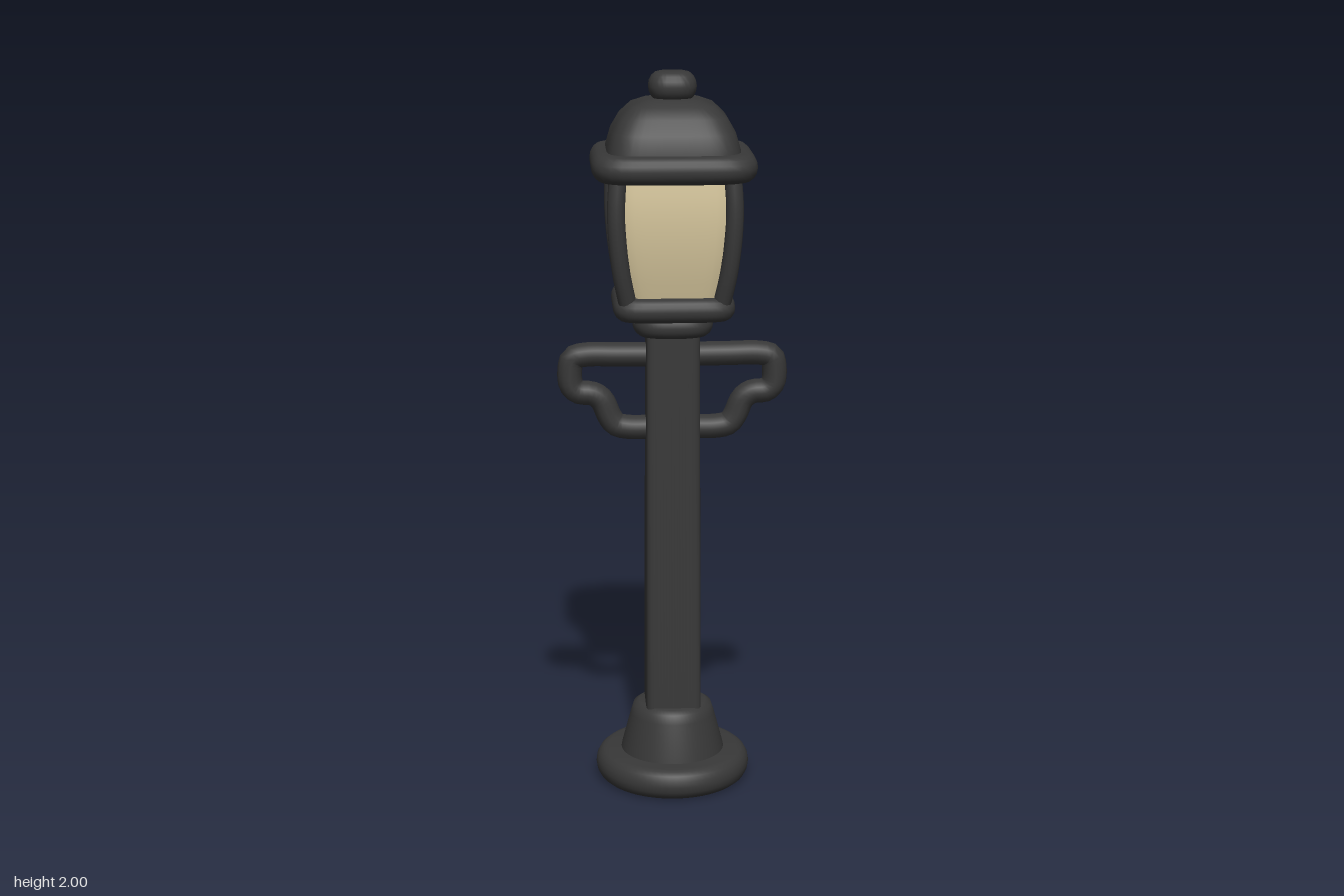
import * as THREE from 'three';
import { toCreasedNormals } from 'three/addons/utils/BufferGeometryUtils.js';

const iron = new THREE.MeshStandardMaterial({ color: 0x383838 });
iron.name = 'dark iron';
const glassMat = new THREE.MeshStandardMaterial({ color: 0xd8c89e });
glassMat.name = 'warm glass';

// Turned profile of [half width, y] points; power 2 is round, higher is squarer
function turned(profile, power) {
  const geo = new THREE.LatheGeometry(profile.map(([r, y]) => new THREE.Vector2(r, y)), 64);
  const pos = geo.attributes.position;
  for (let i = 0; i < pos.count; i++) {
    const x = pos.getX(i), z = pos.getZ(i), r = Math.hypot(x, z);
    if (r < 1e-6) continue;
    const k = Math.pow(Math.pow(Math.abs(x / r), power) + Math.pow(Math.abs(z / r), power), -1 / power);
    pos.setXYZ(i, x * k, pos.getY(i), z * k);
  }
  return toCreasedNormals(geo, 0.75);
}

// Closed band with a rounded rim between two heights
function band(half, y0, y1, power) {
  const h = (y1 - y0) / 2, profile = [[0, y0]];
  for (let i = 0; i <= 8; i++) {
    const a = -Math.PI / 2 + (i / 8) * Math.PI;
    profile.push([half - h * 0.8 * (1 - Math.cos(a)), y0 + h + h * Math.sin(a)]);
  }
  profile.push([0, y1]);
  return turned(profile, power);
}

function tube(points, radius) {
  const curve = new THREE.CatmullRomCurve3(points.map(p => new THREE.Vector3(...p)), false, 'centripetal');
  return new THREE.TubeGeometry(curve, 48, radius, 12);
}

export function createModel() {
  const model = new THREE.Group();
  model.name = 'streetLamp';
  const add = (name, geo, mat = iron) => {
    const mesh = new THREE.Mesh(geo, mat);
    mesh.name = name;
    model.add(mesh);
    return mesh;
  };

  // Round foot and flared plinth
  add('foot', band(0.217, 0, 0.085, 2));
  add('plinth', turned([[0, 0.06], [0.15, 0.06], [0.142, 0.1], [0.118, 0.19], [0.11, 0.215], [0.095, 0.225], [0, 0.225]], 2));

  // Square post
  add('post', turned([[0, 0.2], [0.077, 0.2], [0.073, 1.31], [0, 1.31]], 10));

  // Collar and tray below the lantern
  add('collar', band(0.11, 1.29, 1.355, 3));
  add('lanternTray', band(0.165, 1.345, 1.41, 6));

  // Bulging glass
  add('glass', turned([[0, 1.38], [0.122, 1.38], [0.14, 1.45], [0.156, 1.53], [0.165, 1.62], [0.164, 1.69], [0.158, 1.75], [0, 1.75]], 7), glassMat);

  // Curved bars on the four corners
  for (const sx of [-1, 1]) for (const sz of [-1, 1]) {
    const path = [[0.123, 1.38], [0.143, 1.48], [0.154, 1.58], [0.156, 1.66], [0.15, 1.75]];
    add('cornerBar', tube(path.map(([r, y]) => [sx * r, y, sz * r]), 0.024));
  }

  // Roof with rim and knob
  add('roofRim', band(0.221, 1.722, 1.796, 5.5));
  add('roof', turned([[0, 1.76], [0.183, 1.76], [0.178, 1.8], [0.165, 1.845], [0.142, 1.885], [0.112, 1.914], [0.075, 1.928], [0, 1.934]], 5));
  add('knob', band(0.065, 1.922, 2, 2.8));

  // Mirrored bent side brackets
  const arm = [[0.04, 1.23], [0.15, 1.231], [0.24, 1.231], [0.272, 1.222], [0.281, 1.19], [0.277, 1.145],
    [0.258, 1.127], [0.22, 1.122], [0.195, 1.105], [0.172, 1.055], [0.155, 1.034], [0.12, 1.026], [0.04, 1.026]];
  for (const [side, name] of [[1, 'leftBracket'], [-1, 'rightBracket']]) {
    add(name, tube(arm.map(([x, y]) => [side * x, y, 0]), 0.034)).scale.z = 1.2;
  }
  return model;
}
